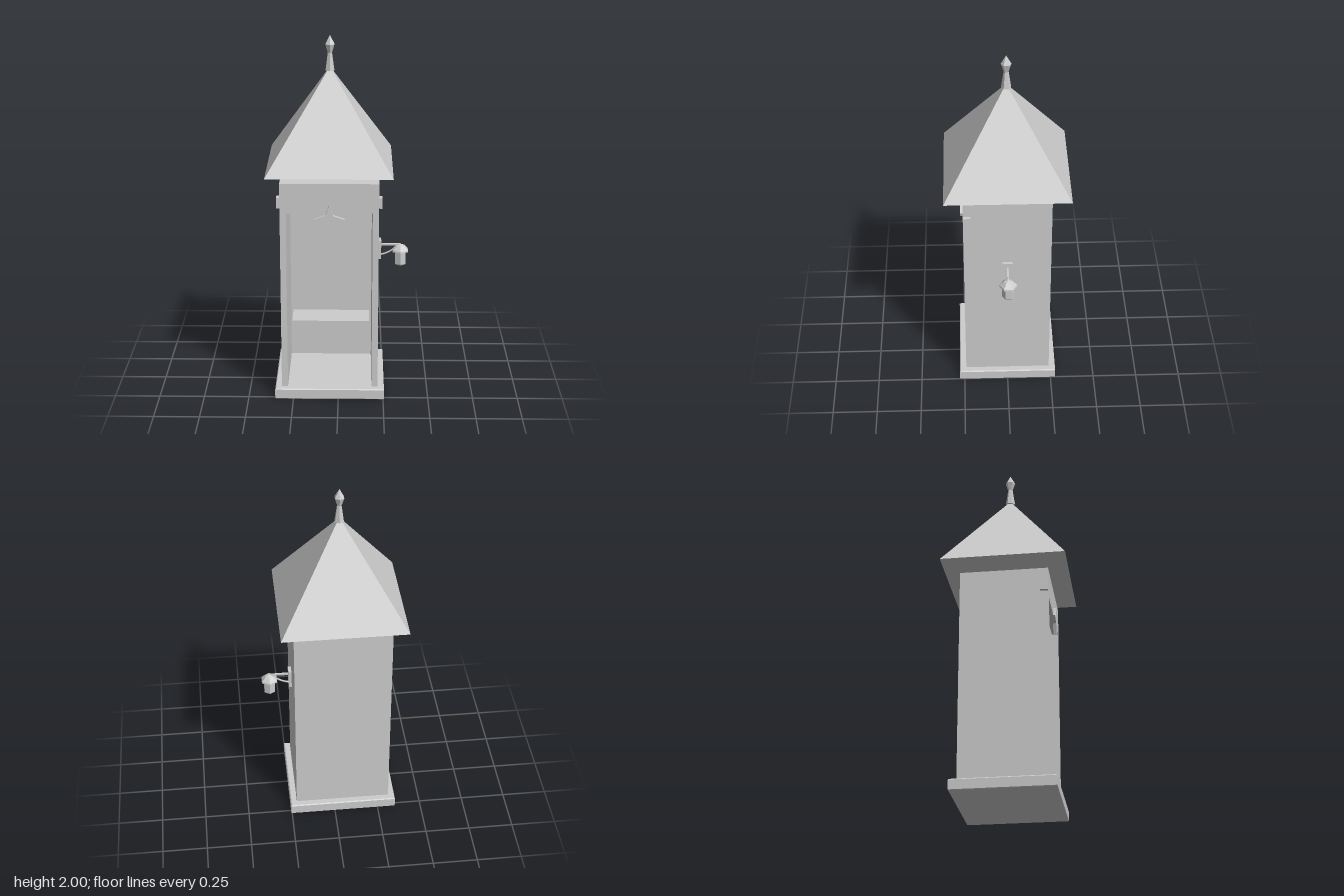
import * as THREE from 'three';

const CX = -0.048; // centre line of the hut, the lamp sits off to its left

export function createModel() {
  const model = new THREE.Group();
  model.name = 'sentryBox';
  const grey = new THREE.MeshStandardMaterial({ color: 0xcccccc });
  grey.name = 'plain grey';

  const add = (name, geometry, x = 0, y = 0, z = 0, parent = model) => {
    const mesh = new THREE.Mesh(geometry, grey);
    mesh.name = name;
    mesh.position.set(x, y, z);
    parent.add(mesh);
    return mesh;
  };
  // Box given by its limits on each axis
  const box = (name, x0, x1, y0, y1, z0, z1, parent) =>
    add(name, new THREE.BoxGeometry(x1 - x0, y1 - y0, z1 - z0),
      (x0 + x1) / 2, (y0 + y1) / 2, (z0 + z1) / 2, parent);
  // Faceted turned part
  const faceted = (profile, sides) => {
    const g = new THREE.LatheGeometry(profile.map(p => new THREE.Vector2(...p)), sides).toNonIndexed();
    g.computeVertexNormals();
    return g;
  };

  // Plinth with softened edges
  const plinth = new THREE.Shape([[-0.298, -0.272], [0.298, -0.272], [0.298, 0.272], [-0.298, 0.272]]
    .map(p => new THREE.Vector2(...p)));
  const plinthGeo = new THREE.ExtrudeGeometry(plinth,
    { depth: 0.052, bevelThickness: 0.005, bevelSize: 0.005, bevelSegments: 1 });
  plinthGeo.rotateX(-Math.PI / 2);
  add('plinth', plinthGeo, CX, 0.005, 0);

  // Cabin walls: one arch-shaped surround, closed by a back and a ceiling
  const wall = new THREE.Shape();
  [[-0.267, 0.06], [-0.233, 0.06], [-0.233, 1.08], [0.233, 1.08], [0.233, 0.06],
    [0.267, 0.06], [0.267, 1.245], [-0.267, 1.245]]
    .forEach(([x, y], i) => (i ? wall.lineTo(x, y) : wall.moveTo(x, y)));
  add('doorFrame', new THREE.ExtrudeGeometry(wall, { depth: 0.034, bevelEnabled: false }), CX, 0, 0.206);
  for (const s of [-1, 1]) {
    const x = CX + s * 0.25;
    box(s > 0 ? 'leftWall' : 'rightWall', x - 0.017, x + 0.017, 0.06, 1.245, -0.24, 0.206);
    // Beam ends poking out near the front corners
    const bx = CX + s * 0.272;
    box('beamEnd', bx - 0.013, bx + 0.013, 1.108, 1.166, 0.197, 0.239);
  }
  box('backWall', CX - 0.233, CX + 0.233, 0.06, 1.245, -0.24, -0.206);
  box('ceiling', CX - 0.233, CX + 0.233, 1.211, 1.245, -0.206, 0.206);
  box('seat', CX - 0.22, CX + 0.22, 0.305, 0.34, -0.206, -0.04);

  // Four-pointed star over the doorway
  const star = new THREE.Shape();
  for (let i = 0; i < 8; i++) {
    const r = i % 2 ? 0.03 : 0.082, a = i * Math.PI / 4;
    star[i ? 'lineTo' : 'moveTo'](r * Math.cos(a), r * Math.sin(a));
  }
  add('star', new THREE.ExtrudeGeometry(star, { depth: 0.018, bevelEnabled: false }), CX, 1.05, 0.238);

  // Pyramid roof and its finial
  const roof = new THREE.ConeGeometry(0.34 * Math.SQRT2, 0.53, 4).rotateY(Math.PI / 4).toNonIndexed();
  roof.computeVertexNormals();
  add('roof', roof, CX, 1.565, 0);
  add('finial', faceted([[0, 1.81], [0.027, 1.81], [0.013, 1.905], [0.028, 1.95], [0, 2]], 6), CX);

  // Wall lamp on a bracket
  const lamp = new THREE.Group();
  lamp.name = 'wallLamp';
  model.add(lamp);
  box('mountingPlate', 0.217, 0.236, 0.745, 0.85, -0.028, 0.028, lamp);
  box('lampArm', 0.23, 0.343, 0.815, 0.826, -0.005, 0.005, lamp);
  const brace = new THREE.QuadraticBezierCurve3(new THREE.Vector3(0.232, 0.762, 0),
    new THREE.Vector3(0.275, 0.768, 0), new THREE.Vector3(0.318, 0.806, 0));
  add('lampBrace', new THREE.TubeGeometry(brace, 8, 0.005, 6), 0, 0, 0, lamp);
  add('lampCap', faceted([[0, 0.783], [0.05, 0.783], [0.048, 0.792], [0.024, 0.816], [0, 0.826]], 6), 0.343, 0, 0, lamp);
  add('lampBody', faceted([[0, 0.706], [0.03, 0.706], [0.034, 0.712], [0.034, 0.785]], 6), 0.343, 0, 0, lamp);

  return model;
}
